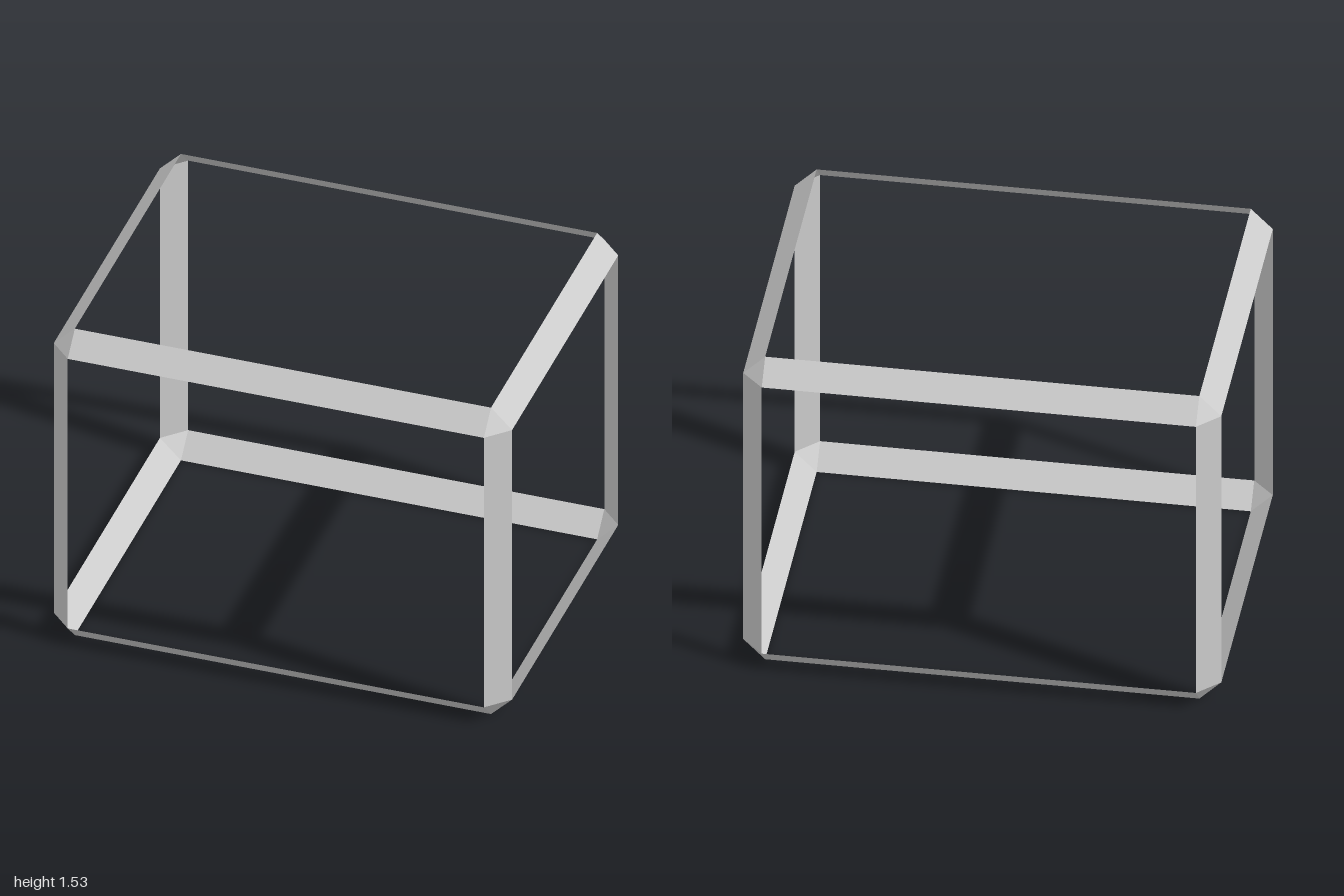
import * as THREE from 'three';

const HALF = [1, 0.7635, 0.774]; // half extents of the frame
const CUT = 0.092;               // chamfer size
const AXES = ['x', 'y', 'z'];

const material = new THREE.MeshStandardMaterial({
  color: 0xcccccc, flatShading: true, side: THREE.DoubleSide,
});

// Corner point lying on the outer plane of one axis, set back on the other two
function cornerPoint(signs, axis) {
  return new THREE.Vector3(...signs.map((s, i) => s * (HALF[i] - (i === axis ? 0 : CUT))));
}

// Flat convex panel, wound so that it faces away from the centre
function panel(name, points) {
  const [a, b, c] = points;
  const normal = b.clone().sub(a).cross(c.clone().sub(a));
  if (normal.dot(a) < 0) points.reverse();
  const geometry = new THREE.BufferGeometry().setFromPoints(points);
  geometry.setIndex(points.length === 4 ? [0, 1, 2, 0, 2, 3] : [0, 1, 2]);
  geometry.computeVertexNormals();
  const mesh = new THREE.Mesh(geometry, material);
  mesh.name = name;
  return mesh;
}

export function createModel() {
  const model = new THREE.Group();
  model.name = 'openBoxFrame';
  const frame = new THREE.Group();
  frame.name = 'frame';
  frame.position.y = HALF[1];
  model.add(frame);

  // Four slanted strips along each axis
  for (let axis = 0; axis < 3; axis++) {
    const u = (axis + 1) % 3, v = (axis + 2) % 3;
    for (const su of [-1, 1]) for (const sv of [-1, 1]) {
      const start = [0, 0, 0];
      start[axis] = -1;
      start[u] = su;
      start[v] = sv;
      const end = start.slice();
      end[axis] = 1;
      frame.add(panel(`${AXES[axis]}EdgeStrip`, [
        cornerPoint(start, u), cornerPoint(end, u),
        cornerPoint(end, v), cornerPoint(start, v),
      ]));
    }
  }

  // Triangles closing the eight corners
  for (const x of [-1, 1]) for (const y of [-1, 1]) for (const z of [-1, 1]) {
    frame.add(panel('cornerTriangle', [0, 1, 2].map((axis) => cornerPoint([x, y, z], axis))));
  }
  return model;
}
